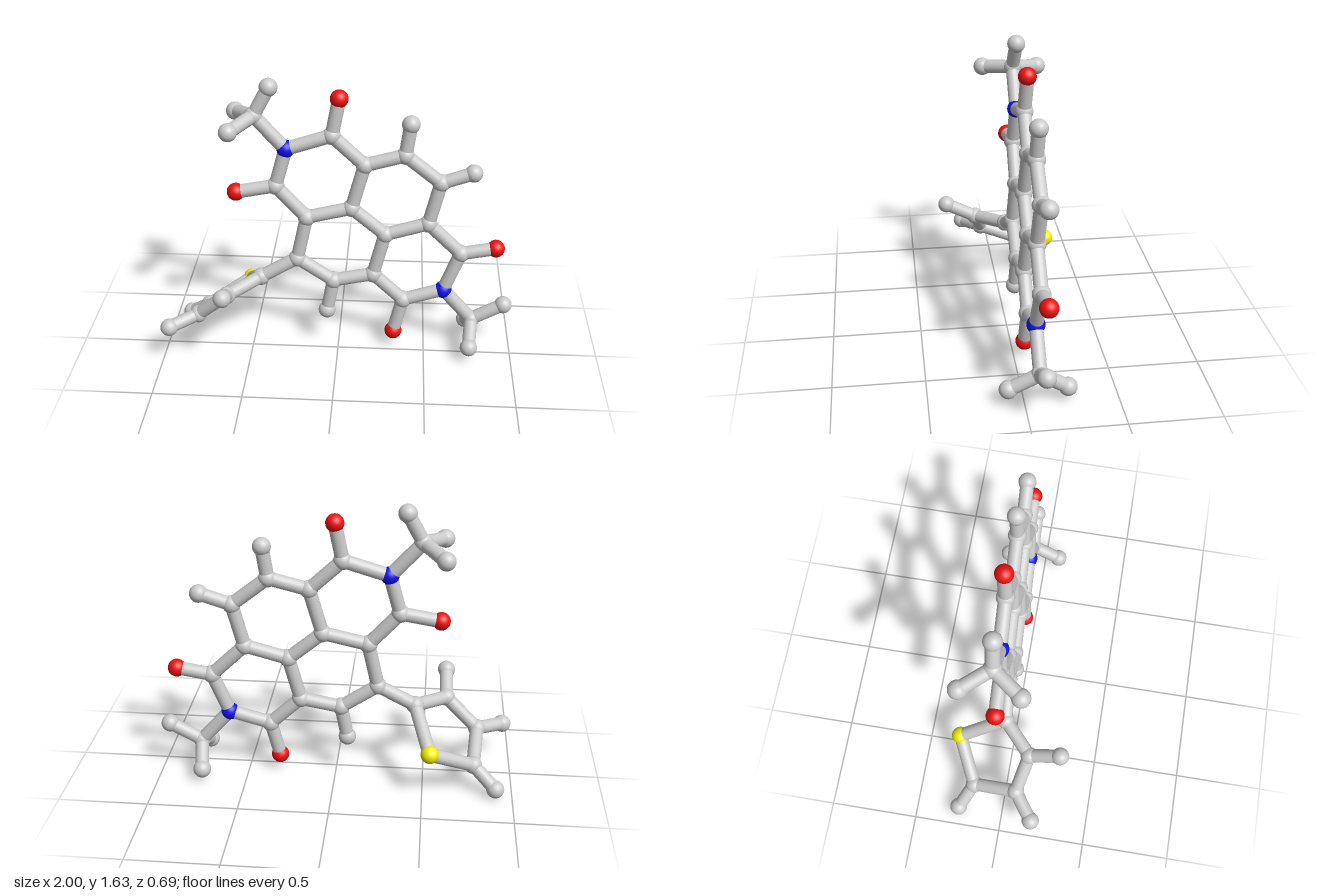
import * as THREE from 'three';

const ATOM_R = 0.05, BOND_R = 0.038;
const grey = new THREE.MeshStandardMaterial({ color: 0xcccccc });
const materials = {
  carbon: grey,
  hydrogen: grey,
  oxygen: new THREE.MeshStandardMaterial({ color: 0xee1111 }),
  nitrogen: new THREE.MeshStandardMaterial({ color: 0x1111ee }),
  sulfur: new THREE.MeshStandardMaterial({ color: 0xf4f000 }),
};
const elements = { C: 'carbon', H: 'hydrogen', O: 'oxygen', N: 'nitrogen', S: 'sulfur' };

// The fused rings lie in one slightly tilted plane
const planeZ = (x, y) => -0.046 - 0.03 * x - 0.042 * y;

// Atoms as name: [x, y, z]; z is left out for those in the plane
const atoms = {
  // fused rings
  N1: [-0.29, 1.24], C1: [-0.04, 1.32], C2: [0.14, 1.15], C3: [0.36, 1.21],
  C4: [0.56, 1.05], C5: [0.50, 0.80], C6: [0.26, 0.73], C7: [0.07, 0.89],
  C8: [-0.18, 0.83], C9: [-0.35, 1.02], C10: [-0.235, 0.57], C11: [-0.03, 0.43],
  C12: [0.196, 0.475], C13: [0.37, 0.31], N2: [0.60, 0.38], C14: [0.69, 0.615],
  // atoms on the rim
  O1: [0, 1.53], O2: [-0.57, 0.98], O3: [0.32, 0.10], O4: [0.885, 0.65],
  H3: [0.385, 1.39, -0.115], H4: [0.735, 1.11, -0.115], H11: [-0.066, 0.235],
  // upper methyl group
  C15: [-0.46, 1.43, -0.09], H15: [-0.375, 1.59, -0.10],
  H16: [-0.575, 1.40, 0.07], H17: [-0.58, 1.39, -0.245],
  // lower methyl group
  C18: [0.77, 0.185, -0.08], H18: [0.95, 0.285, -0.085],
  H19: [0.755, 0.095, 0.085], H20: [0.745, 0.08, -0.232],
  // five-sided side ring
  C21: [-0.445, 0.45, -0.045], S1: [-0.535, 0.285, -0.30], C22: [-0.78, 0.16, -0.18],
  C23: [-0.80, 0.255, 0.07], C24: [-0.62, 0.42, 0.12],
  H22: [-0.905, 0.055, -0.255], H23: [-0.95, 0.23, 0.18], H24: [-0.617, 0.51, 0.295],
};

// Each chain is a run of bonded atoms
const chains = {
  fusedRings: [
    'N1 C1 C2 C3 C4 C5 C6 C7 C8 C9 N1', 'C2 C7', 'C8 C10 C11 C12 C6',
    'C12 C13 N2 C14 C5', 'C1 O1', 'C9 O2', 'C13 O3', 'C14 O4', 'C3 H3', 'C4 H4', 'C11 H11',
  ],
  upperMethyl: ['N1 C15 H15', 'H16 C15 H17'],
  lowerMethyl: ['N2 C18 H18', 'H19 C18 H20'],
  sideRing: ['C10 C21 S1 C22 C23 C24 C21', 'C22 H22', 'C23 H23', 'C24 H24'],
};

const sphere = new THREE.SphereGeometry(ATOM_R, 24, 16);
const stick = new THREE.CylinderGeometry(BOND_R, BOND_R, 1, 20, 1, true);
const UP = new THREE.Vector3(0, 1, 0);

function position(name) {
  const [x, y, z = planeZ(x, y)] = atoms[name];
  return new THREE.Vector3(x, y, z);
}

function makeAtom(name) {
  const element = elements[name[0]];
  const mesh = new THREE.Mesh(sphere, materials[element]);
  mesh.name = element + 'Atom';
  mesh.position.copy(position(name));
  return mesh;
}

function makeBond(from, to) {
  const a = position(from), b = position(to);
  const mesh = new THREE.Mesh(stick, grey);
  mesh.name = 'bond';
  mesh.position.copy(a).lerp(b, 0.5);
  mesh.scale.y = a.distanceTo(b);
  mesh.quaternion.setFromUnitVectors(UP, b.sub(a).normalize());
  return mesh;
}

export function createModel() {
  const model = new THREE.Group();
  model.name = 'molecule';
  const placed = new Set();
  for (const [groupName, runs] of Object.entries(chains)) {
    const group = new THREE.Group();
    group.name = groupName;
    for (const run of runs) {
      const names = run.split(' ');
      names.forEach((name, i) => {
        if (!placed.has(name)) group.add(makeAtom(name));
        placed.add(name);
        if (i > 0) group.add(makeBond(names[i - 1], name));
      });
    }
    model.add(group);
  }
  return model;
}
